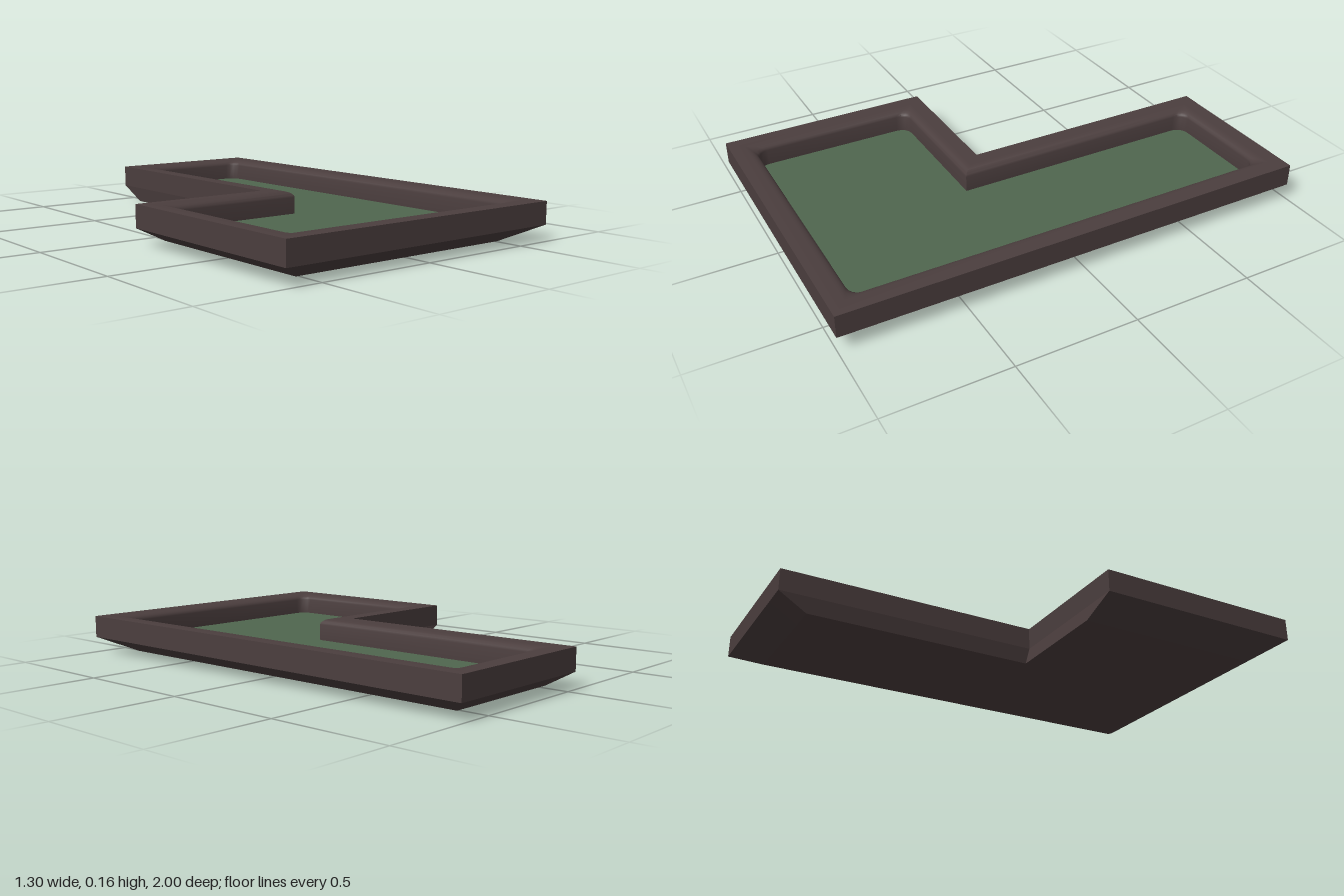
import * as THREE from 'three';
import { toCreasedNormals } from 'three/addons/utils/BufferGeometryUtils.js';

// L-shaped plan as [x, z], counter-clockwise seen from above
const PLAN = [[-0.65, 1], [0.65, 1], [0.65, -1], [-0.05, -1], [-0.05, 0.1], [-0.65, 0.1]];
const STEPS = 4;
const FELT_Y = 0.067, TOP_Y = 0.16;

// Plan moved inward by `inset`, outward corners rounded by `radius`
function outline(inset, radius, steps = STEPS) {
  const points = [];
  PLAN.forEach((p, i) => {
    const corner = new THREE.Vector2(...p);
    const d1 = corner.clone().sub(new THREE.Vector2(...PLAN[(i + 5) % 6])).normalize();
    const d2 = new THREE.Vector2(...PLAN[(i + 1) % 6]).sub(corner).normalize();
    const n1 = new THREE.Vector2(d1.y, -d1.x), n2 = new THREE.Vector2(d2.y, -d2.x);
    corner.addScaledVector(n1, inset).addScaledVector(n2, inset);
    const r = n1.dot(d2) > 0 ? radius : 0;
    for (let k = 0; k <= steps; k++) {
      const t = steps ? (k / steps) * Math.PI / 2 : 0;
      points.push(corner.clone()
        .addScaledVector(d1, r * (Math.sin(t) - 1))
        .addScaledVector(d2, r * (1 - Math.cos(t))));
    }
  });
  return points;
}

// Skin joining successive rings of equal point count
function loft(rings) {
  const positions = [];
  const addTriangle = (a, b, c) => {
    if (new THREE.Triangle(a, b, c).getArea() > 1e-8) {
      for (const v of [a, b, c]) positions.push(v.x, v.y, v.z);
    }
  };
  for (let j = 0; j < rings.length - 1; j++) {
    const a = rings[j], b = rings[j + 1];
    for (let i = 0; i < a.length; i++) {
      const n = (i + 1) % a.length;
      addTriangle(a[i], a[n], b[n]);
      addTriangle(a[i], b[n], b[i]);
    }
  }
  const geometry = new THREE.BufferGeometry();
  geometry.setAttribute('position', new THREE.Float32BufferAttribute(positions, 3));
  return toCreasedNormals(geometry, 0.7);
}

export function createModel() {
  const group = new THREE.Group();
  const wood = new THREE.MeshStandardMaterial({ color: 0x4b3e3e });
  const green = new THREE.MeshStandardMaterial({ color: 0x4f664e });
  const add = (name, geometry, material) => {
    const mesh = new THREE.Mesh(geometry, material);
    mesh.name = name;
    group.add(mesh);
    return mesh;
  };
  const ring = (inset, radius, y, sx = 1, sz = 1) =>
    outline(inset, radius).map((p) => new THREE.Vector3(p.x * sx, y, p.y * sz));

  // Tapered underside
  const footX = 0.785, footZ = 0.88;
  add('taperedBase', loft([ring(0, 0, 0, footX, footZ), ring(0, 0, FELT_Y)]), wood);
  const foot = new THREE.ShapeGeometry(new THREE.Shape(
    PLAN.map(([x, z]) => new THREE.Vector2(x * footX, z * footZ))));
  add('bottom', foot.rotateX(Math.PI / 2), wood);

  // Rail: upright outside, flat top, softly rolled inner edge and inner wall
  const rings = [ring(0, 0, FELT_Y), ring(0, 0, TOP_Y)];
  for (let k = 0; k <= 5; k++) {
    const t = (k / 5) * Math.PI / 2;
    rings.push(ring(0.06 + 0.04 * Math.sin(t), 0.05 * Math.sin(t), TOP_Y - 0.025 * (1 - Math.cos(t))));
  }
  rings.push(ring(0.1, 0.05, FELT_Y));
  add('rail', loft(rings), wood);

  // Sunken playing surface
  const felt = new THREE.ShapeGeometry(new THREE.Shape(
    outline(0.1, 0, 0).map((p) => new THREE.Vector2(p.x, -p.y))));
  add('feltSurface', felt.rotateX(-Math.PI / 2), green).position.y = FELT_Y;

  return group;
}
